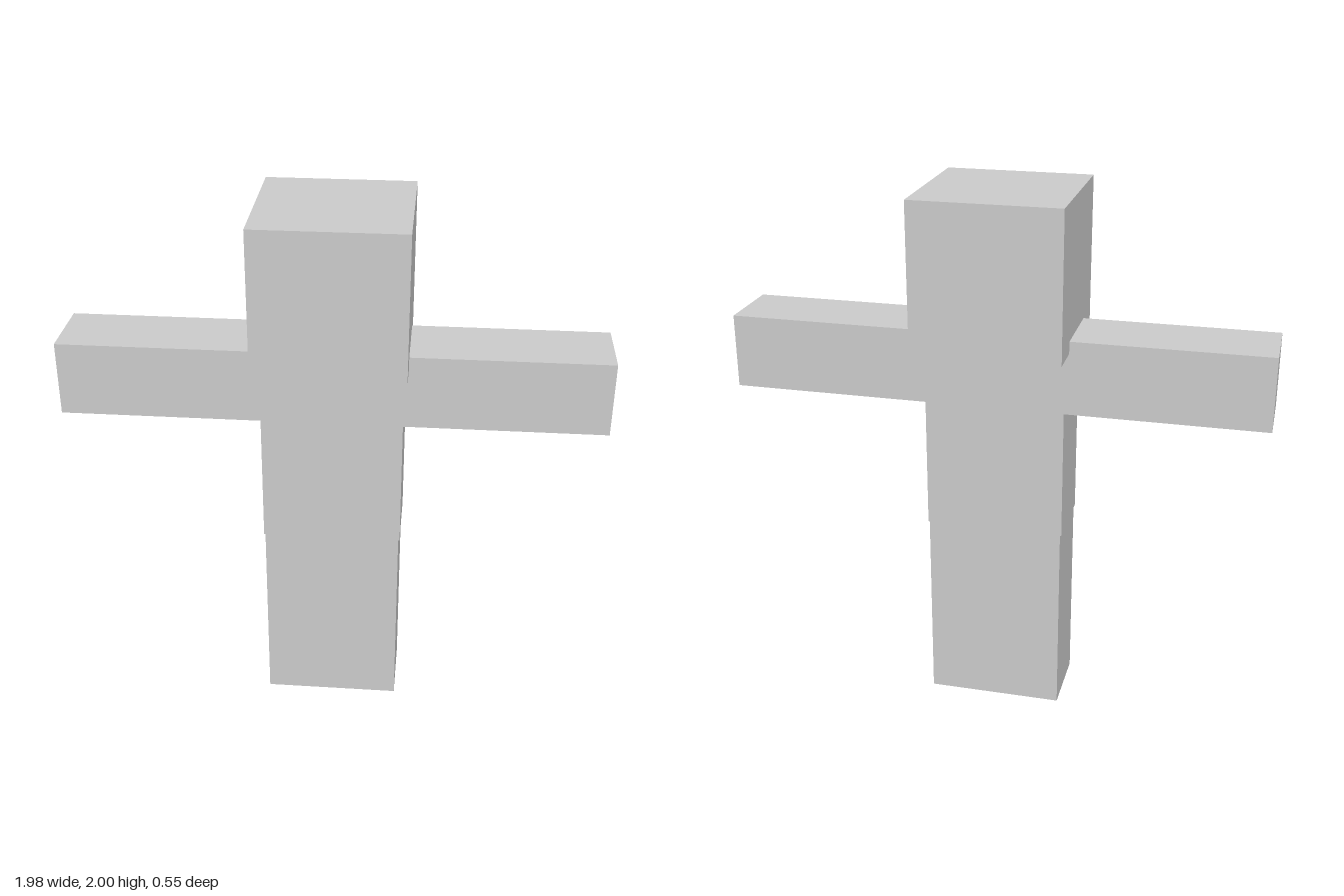
import * as THREE from 'three';

const material = new THREE.MeshStandardMaterial({ color: 0xcccccc, flatShading: true });

// Box given by its extents along x and y, and its depth centred on z = 0
function block(name, x0, x1, y0, y1, depth) {
  const mesh = new THREE.Mesh(new THREE.BoxGeometry(x1 - x0, y1 - y0, depth), material);
  mesh.position.set((x0 + x1) / 2, (y0 + y1) / 2, 0);
  mesh.name = name;
  return mesh;
}

export function createModel() {
  const model = new THREE.Group();
  model.name = 'blockFigure';
  const limbDepth = 0.274;

  // Cube head, sunk slightly into the shoulders
  model.add(block('head', -0.273, 0.273, 1.455, 2, 0.546));

  // Torso, a touch wider than the legs
  model.add(block('torso', -0.258, 0.258, 0.735, 1.5, limbDepth));

  // Outstretched arms and straight legs, mirrored
  for (const [side, s] of [['left', 1], ['right', -1]]) {
    const span = (a, b) => (s > 0 ? [a, b] : [-b, -a]);
    model.add(block(side + 'Arm', ...span(0.258, 0.992), 1.225, 1.5, limbDepth));
    model.add(block(side + 'Leg', ...span(0, 0.253), 0, 0.735, limbDepth));
  }
  return model;
}
